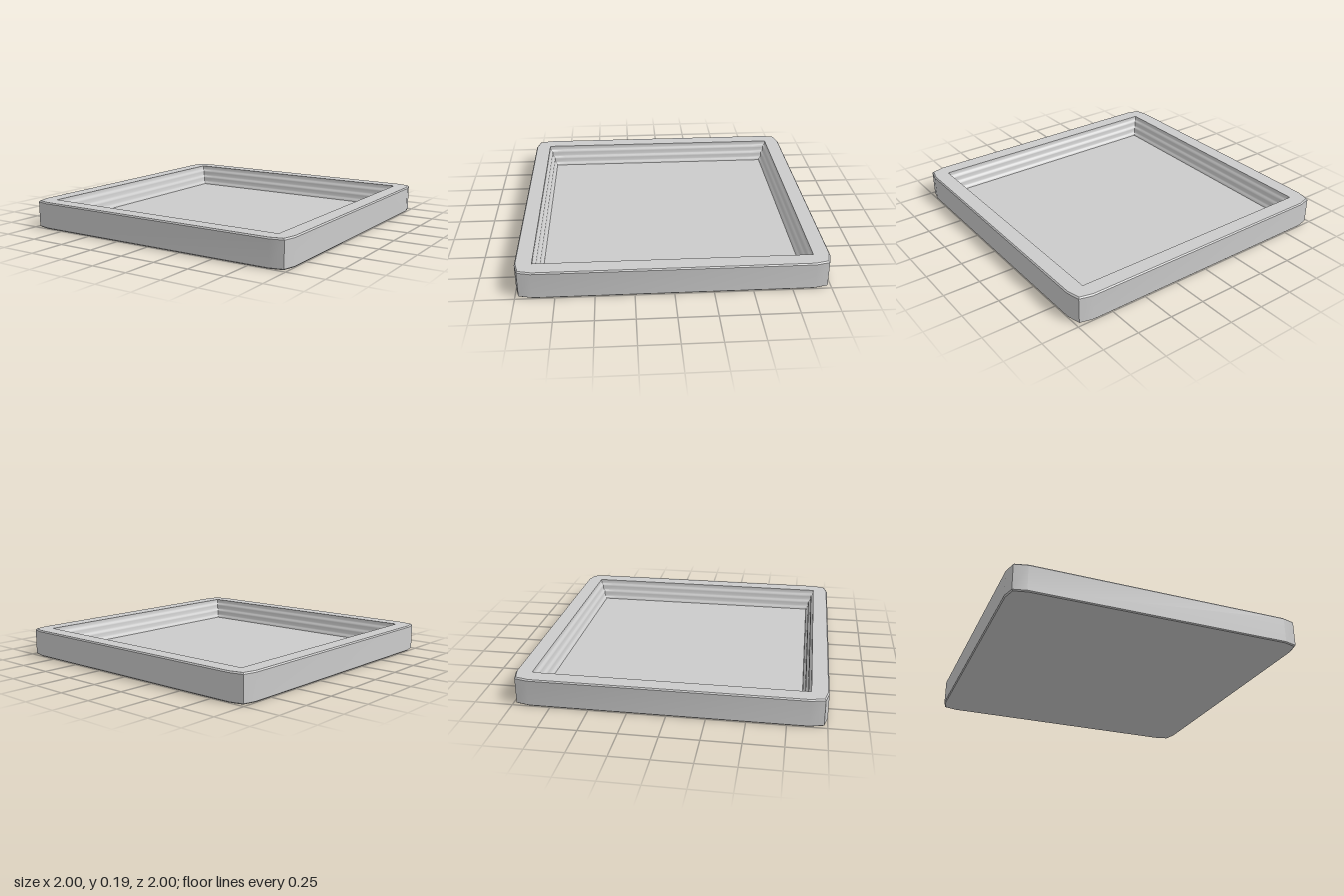
import * as THREE from 'three';
import { toCreasedNormals } from 'three/addons/utils/BufferGeometryUtils.js';

const material = new THREE.MeshStandardMaterial({ color: 0xcccccc });

// Square ring of 12 points; corner < 1 pulls each corner point inward.
function ring([size, y, corner = 1]) {
  const points = [];
  for (let k = 0; k < 4; k++) {
    for (const [x, z] of [[1, 0.89], [corner, corner], [0.89, 1]]) {
      const p = new THREE.Vector3(x * size, y, z * size);
      points.push(p.applyAxisAngle(new THREE.Vector3(0, 1, 0), -k * Math.PI / 2));
    }
  }
  return points;
}

// Skin between successive rings; size 0 closes the skin at its centre.
function loft(name, profile, crease) {
  const rings = profile.map(ring);
  const positions = [];
  const add = (...pts) => pts.forEach(p => positions.push(p.x, p.y, p.z));
  for (let i = 0; i < rings.length - 1; i++) {
    const a = rings[i], b = rings[i + 1];
    for (let j = 0; j < 12; j++) {
      const n = (j + 1) % 12;
      if (profile[i][0] > 0) add(a[j], b[j], a[n]);
      if (profile[i + 1][0] > 0) add(a[n], b[j], b[n]);
    }
  }
  const geometry = new THREE.BufferGeometry();
  geometry.setAttribute('position', new THREE.Float32BufferAttribute(positions, 3));
  const mesh = new THREE.Mesh(toCreasedNormals(geometry, crease), material);
  mesh.name = name;
  return mesh;
}

export function createModel() {
  const group = new THREE.Group();
  group.name = 'tray';
  const height = 0.187, floorY = 0.04, c = 0.978;

  // Base, outer wall and flat rim, with small bevels
  group.add(loft('outerShell', [
    [0, 0, c], [0.993, 0, c], [1, 0.007, c],
    [1, height - 0.009, c], [0.993, height, c], [0.89, height],
  ], 0.5));

  // Stepped moulding around the inside of the wall
  const steps = 3, top = 0.89, bottom = 0.838;
  const run = (top - bottom) / steps, drop = (height - floorY) / steps;
  const moulding = [];
  for (let i = 0; i < steps; i++) {
    const s = top - i * run, y = height - i * drop;
    moulding.push([s, y], [s, y - drop * 0.45], [s - run * 0.35, y - drop * 0.65],
      [s - run * 0.85, y - drop * 0.8]);
  }
  moulding.push([bottom, floorY]);
  group.add(loft('innerMoulding', moulding, 1.1));

  // Recessed floor
  group.add(loft('floor', [[bottom, floorY], [0, floorY]], 0.5));
  return group;
}
